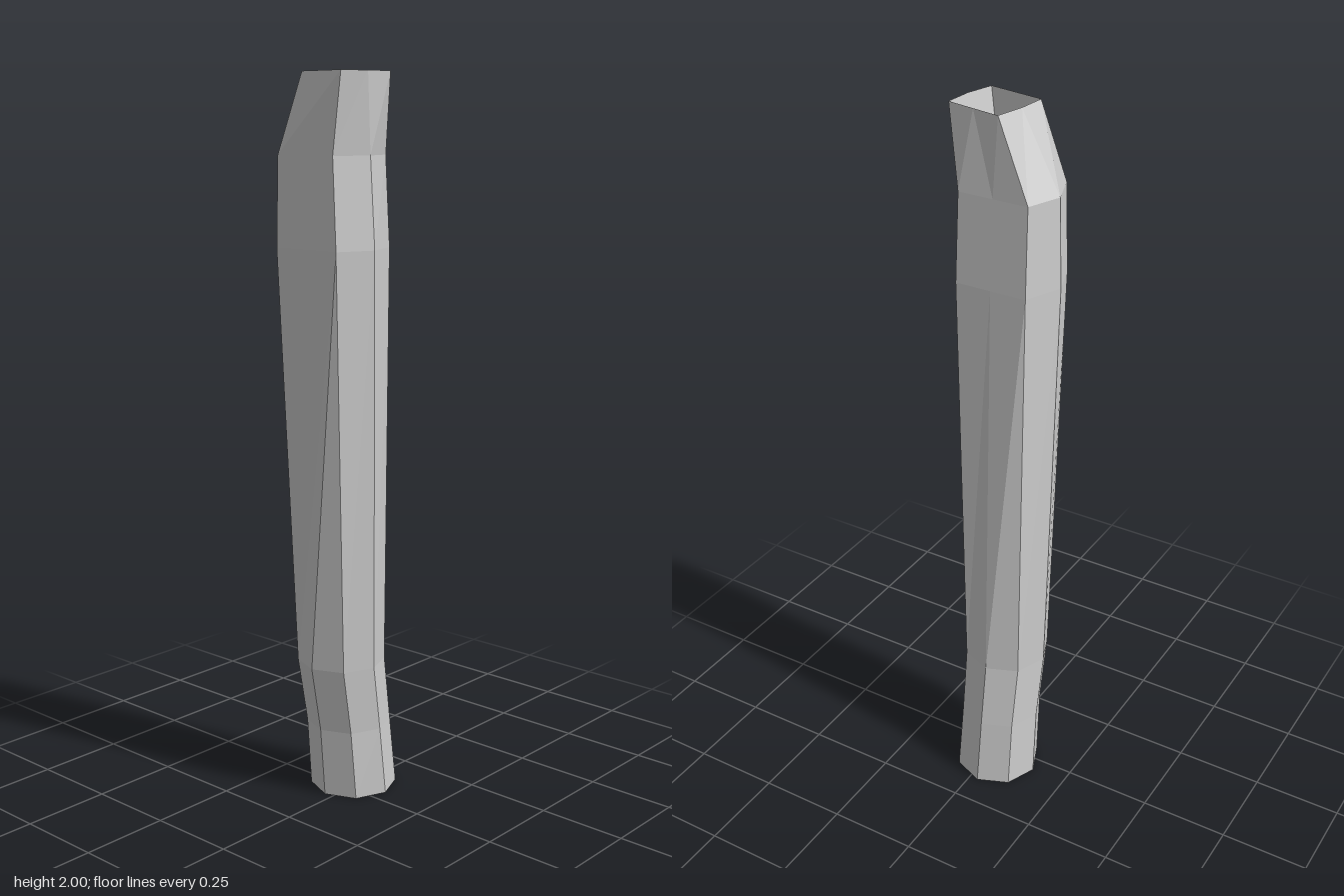
import * as THREE from 'three';

// Regular octagon ring: right, back right, back, back left, left, front left, front, front right
function octagon(y, cx, cz, r) {
  return Array.from({ length: 8 }, (_, i) => {
    const a = (i * Math.PI) / 4;
    return new THREE.Vector3(cx + r * Math.cos(a), y, cz - r * Math.sin(a));
  });
}

// Six-cornered ring in the same order; the back point sits mid-edge, the front point merges with front right
function hexagon(y, right, backRight, backLeft, left, frontLeft, frontRight) {
  const p = ([x, z]) => new THREE.Vector3(x, y, z);
  const back = p(backRight).lerp(p(backLeft), 0.5);
  return [p(right), p(backRight), back, p(backLeft), p(left), p(frontLeft), p(frontRight), p(frontRight)];
}

// All eight points drawn together at the middle, to close an end
function closed(ring) {
  const c = ring.reduce((s, p) => s.add(p), new THREE.Vector3()).divideScalar(ring.length);
  return ring.map(() => c);
}

// Skin a stack of rings, leaving out triangles that collapse
function loft(rings) {
  const pos = [];
  const tri = (a, b, c) => {
    if (new THREE.Triangle(a, b, c).getArea() > 1e-7) pos.push(...a, ...b, ...c);
  };
  for (let k = 0; k < rings.length - 1; k++) {
    const lo = rings[k], hi = rings[k + 1];
    for (let i = 0; i < 8; i++) {
      const j = (i + 1) % 8;
      tri(lo[i], lo[j], hi[j]);
      tri(lo[i], hi[j], hi[i]);
    }
  }
  const g = new THREE.BufferGeometry();
  g.setAttribute('position', new THREE.Float32BufferAttribute(pos, 3));
  g.computeVertexNormals();
  return g;
}

export function createModel() {
  const group = new THREE.Group();
  const material = new THREE.MeshStandardMaterial({ color: 0xcccccc, flatShading: true });

  // Leaning shaft: octagonal foot, long hexagonal body, tapered neck
  const foot = octagon(0, -0.026, -0.046, 0.122);
  const rim = hexagon(2, [0.142, 0.09], [0.148, 0.01], [-0.01, -0.02], [-0.03, 0.06], [-0.038, 0.14], [0.12, 0.167]);
  const shaft = new THREE.Mesh(loft([
    closed(foot),
    foot,
    octagon(0.2, -0.026, -0.025, 0.118),
    octagon(0.39, -0.026, 0.006, 0.122),
    hexagon(1.55, [0.14, 0.06], [0.1, -0.046], [-0.105, -0.046], [-0.148, 0.06], [-0.11, 0.164], [0.1, 0.164]),
    hexagon(1.79, [0.13, 0.066], [0.1, -0.029], [-0.1, -0.029], [-0.137, 0.066], [-0.1, 0.167], [0.092, 0.167]),
    rim,
  ]), material);
  shaft.name = 'shaft';

  // Narrowing hollow inside the open top
  const floor = hexagon(1.79, [0.092, 0.085], [0.095, 0.032], [-0.01, 0.015], [-0.025, 0.06], [-0.03, 0.12], [0.077, 0.138]);
  const hollow = new THREE.Mesh(loft([rim, floor, closed(floor)]), material);
  hollow.name = 'hollow';

  group.add(shaft, hollow);
  return group;
}
